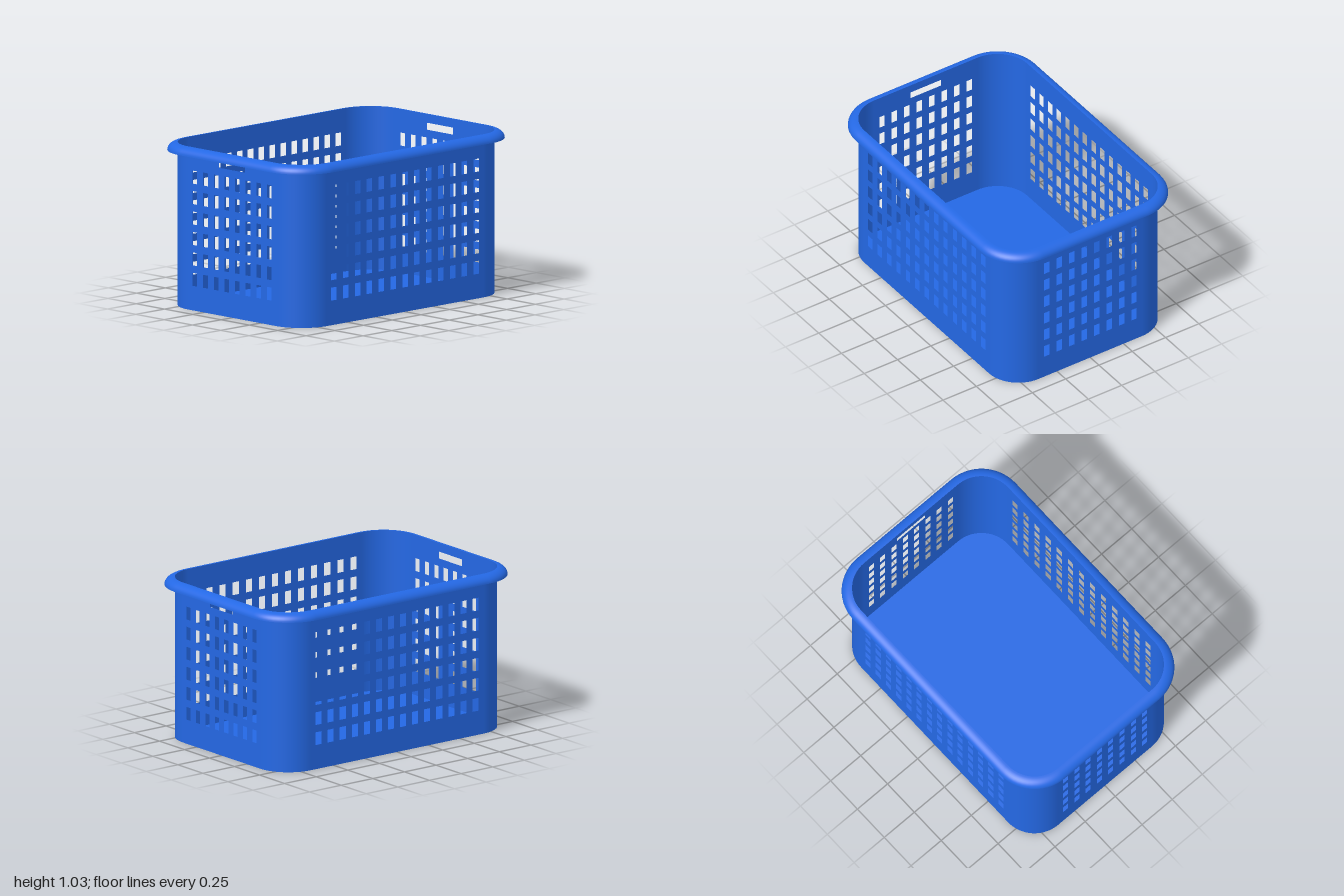
import * as THREE from 'three';

const HX = 0.61, HZ = 0.905, R = 0.22, TOP = 1.03; // half width, half depth, corner radius, height
const STEPS = 14;                                  // segments per rounded corner

const material = new THREE.MeshStandardMaterial({ color: 0x2468e4, side: THREE.DoubleSide });

function add(parent, name, geometry) {
  const mesh = new THREE.Mesh(geometry, material);
  mesh.name = name;
  parent.add(mesh);
  return mesh;
}

// Rounded-rectangle outline, grown outward by d; x and z in a Vector2
function outline(d) {
  const pts = [];
  for (let c = 0; c < 4; c++) {
    const cx = (c === 0 || c === 3 ? 1 : -1) * (HX - R);
    const cz = (c < 2 ? 1 : -1) * (HZ - R);
    for (let i = 0; i <= STEPS; i++) {
      const a = (c + i / STEPS) * Math.PI / 2;
      pts.push(new THREE.Vector2(cx + (R + d) * Math.cos(a), cz + (R + d) * Math.sin(a)));
    }
  }
  return pts;
}

function rect(path, cx, cy, w, h) {
  path.moveTo(cx - w / 2, cy - h / 2);
  path.lineTo(cx + w / 2, cy - h / 2);
  path.lineTo(cx + w / 2, cy + h / 2);
  path.lineTo(cx - w / 2, cy + h / 2);
  path.closePath();
  return path;
}

// Flat wall with a grid of holes, optionally with a hand slot
function wallGeometry(halfWidth, columns, reach, holeWidth, slot) {
  const shape = rect(new THREE.Shape(), 0, TOP / 2, halfWidth * 2, TOP);
  for (let c = 0; c < columns; c++) {
    const x = -reach + 2 * reach * c / (columns - 1);
    for (let r = 0; r < 6; r++) {
      shape.holes.push(rect(new THREE.Path(), x, 0.196 + r * 0.129, holeWidth, 0.082));
    }
  }
  if (slot) shape.holes.push(rect(new THREE.Path(), 0, 0.953, 0.23, 0.044));
  return new THREE.ShapeGeometry(shape);
}

// Lip: a quarter-round section swept around the outline
function rimGeometry() {
  const rows = 10, pos = [], index = [];
  let n = 0;
  for (let j = 0; j <= rows; j++) {
    const a = j / rows * Math.PI / 2;
    const ring = outline(0.065 * Math.sin(a));
    const y = 0.98 + 0.05 * Math.cos(a);
    n = ring.length;
    for (const p of ring) pos.push(p.x, y, p.y);
  }
  for (let j = 0; j < rows; j++) {
    for (let i = 0; i < n; i++) {
      const k = (i + 1) % n;
      const a = j * n + i, b = j * n + k, c = a + n, d = b + n;
      index.push(a, b, c, b, d, c);
    }
  }
  const g = new THREE.BufferGeometry();
  g.setAttribute('position', new THREE.Float32BufferAttribute(pos, 3));
  g.setIndex(index);
  g.computeVertexNormals();
  return g;
}

export function createModel() {
  const basket = new THREE.Group();
  basket.name = 'laundryBasket';

  // End walls with hand slots
  for (const [name, s] of [['frontWall', 1], ['backWall', -1]]) {
    const wall = add(basket, name, wallGeometry(HX - R, 8, 0.328, 0.041, true));
    wall.position.z = s * HZ;
    wall.rotation.y = s > 0 ? 0 : Math.PI;
  }

  // Long walls; the right one has one more column of holes
  for (const [name, s, columns] of [['leftWall', 1, 13], ['rightWall', -1, 14]]) {
    const wall = add(basket, name, wallGeometry(HZ - R, columns, 0.62, 0.048, false));
    wall.position.x = s * HX;
    wall.rotation.y = s * Math.PI / 2;
  }

  // Rounded corners
  const quarter = new THREE.CylinderGeometry(R, R, TOP, STEPS, 1, true, 0, Math.PI / 2);
  [[1, 1], [1, -1], [-1, -1], [-1, 1]].forEach(([sx, sz], k) => {
    const corner = add(basket, 'corner', quarter);
    corner.position.set(sx * (HX - R), TOP / 2, sz * (HZ - R));
    corner.rotation.y = k * Math.PI / 2;
  });

  // Floor
  const floor = add(basket, 'floor', new THREE.ShapeGeometry(new THREE.Shape(outline(0))));
  floor.rotation.x = Math.PI / 2;

  add(basket, 'rim', rimGeometry());
  return basket;
}
